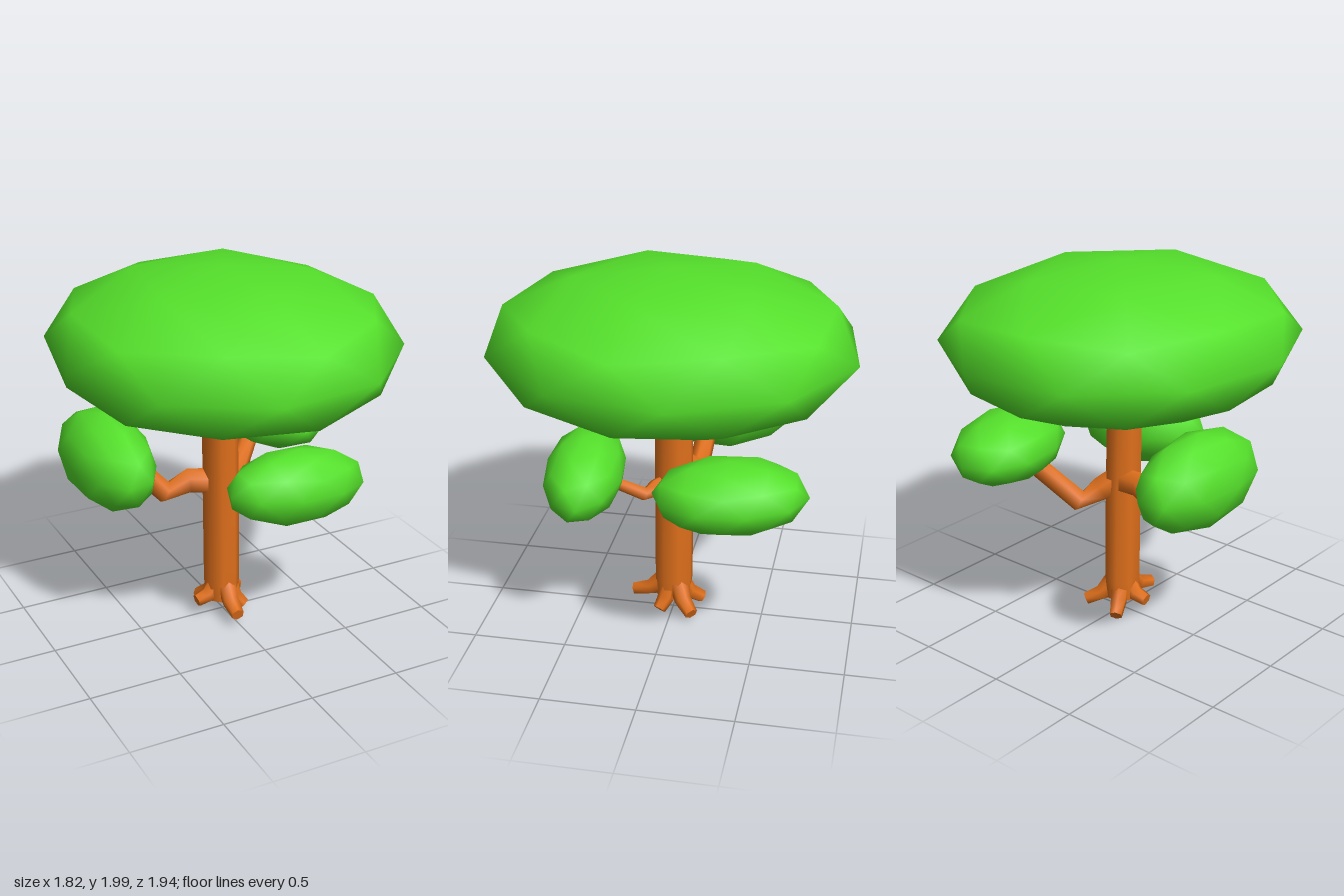
import * as THREE from 'three';

const leaf = new THREE.MeshStandardMaterial({ color: 0x55e02b });
const bark = new THREE.MeshStandardMaterial({ color: 0xe0701c });
const deg = THREE.MathUtils.degToRad;

// Low-poly ellipsoid of leaves with a vertex at its top
function foliage(name, centre, radii, spin, yaw = 0, roll = 0) {
  const g = new THREE.IcosahedronGeometry(1, 1);
  g.rotateZ(Math.atan2(2, 1 + Math.sqrt(5)));
  g.rotateY(deg(spin)).scale(...radii);
  const mesh = new THREE.Mesh(g, leaf);
  mesh.name = name;
  mesh.position.set(...centre);
  mesh.rotation.set(0, deg(yaw), deg(roll));
  return mesh;
}

// Sweep a polygon along a bent path; each path entry is [x, y, z, radius]
function limb(name, path, sides, ref = [0, 1, 0]) {
  const pts = path.map(p => new THREE.Vector3(p[0], p[1], p[2]));
  const up = new THREE.Vector3(...ref);
  const pos = [], index = [], last = pts.length - 1;
  const ring = i => {
    const t = pts[Math.min(i + 1, last)].clone().sub(pts[Math.max(i - 1, 0)]).normalize();
    const u = t.clone().cross(up).normalize();
    const v = t.clone().cross(u);
    const start = pos.length / 3;
    for (let k = 0; k < sides; k++) {
      const a = (k + 0.5) / sides * Math.PI * 2;
      const p = pts[i].clone()
        .addScaledVector(u, Math.cos(a) * path[i][3])
        .addScaledVector(v, Math.sin(a) * path[i][3]);
      pos.push(p.x, p.y, p.z);
    }
    return start;
  };
  // walls
  const starts = pts.map((_, i) => ring(i));
  for (let i = 0; i < last; i++) {
    for (let k = 0; k < sides; k++) {
      const n = (k + 1) % sides;
      const a = starts[i] + k, b = starts[i] + n, c = starts[i + 1] + n, d = starts[i + 1] + k;
      index.push(a, b, c, a, c, d);
    }
  }
  // flat ends with their own vertices
  const s = ring(0), e = ring(last);
  for (let k = 1; k < sides - 1; k++) {
    index.push(s, s + k + 1, s + k, e, e + k, e + k + 1);
  }
  const g = new THREE.BufferGeometry();
  g.setAttribute('position', new THREE.Float32BufferAttribute(pos, 3));
  g.setIndex(index);
  g.computeVertexNormals();
  const mesh = new THREE.Mesh(g, bark);
  mesh.name = name;
  return mesh;
}

export function createModel() {
  const tree = new THREE.Group();
  tree.name = 'tree';

  // Leaves
  tree.add(
    foliage('canopy', [0, 1.6, 0], [0.915, 0.4, 0.985], 25.3),
    foliage('rightFoliage', [-0.61, 1.0, -0.14], [0.22, 0.25, 0.43], 25),
    foliage('frontFoliage', [0.205, 0.912, 0.435], [0.405, 0.203, 0.21], 25, 3, -4),
    foliage('leftFoliage', [0.47, 0.985, -0.38], [0.265, 0.19, 0.4], 25, 14),
  );

  // Trunk, slightly deeper than wide
  const trunk = limb('trunk', [
    [-0.005, 0.09, 0, 0.085], [-0.005, 0.2, -0.004, 0.096],
    [-0.01, 0.75, -0.003, 0.096], [-0.018, 1.3, 0, 0.093],
  ], 8, [0, 0, 1]);
  trunk.scale.z = 1.1;
  tree.add(trunk);

  // Bent branches reaching into the smaller foliage
  tree.add(
    limb('rightBranch', [[0, 0.79, -0.02, 0.075], [-0.18, 0.815, -0.05, 0.072],
      [-0.3, 0.755, -0.09, 0.06], [-0.5, 0.97, -0.12, 0.055]], 6),
    limb('leftBranch', [[0, 0.8, -0.02, 0.075], [0.07, 0.74, -0.09, 0.07],
      [0.15, 0.675, -0.18, 0.06], [0.36, 0.92, -0.35, 0.055]], 6),
    limb('frontBranch', [[0, 0.79, 0.02, 0.06], [0.08, 0.785, 0.08, 0.05],
      [0.13, 0.77, 0.13, 0.038], [0.19, 0.87, 0.33, 0.03]], 6),
  );

  // Roots splaying from the foot of the trunk
  const tips = [
    [-0.02, 0.085, 0.225], [0.1, 0.04, 0.06], [0.15, 0.06, -0.13],
    [-0.08, 0.04, -0.15], [-0.165, 0.1, 0.01],
  ];
  const roots = new THREE.Group();
  roots.name = 'roots';
  for (const [x, y, z] of tips) {
    roots.add(limb('root', [[x * 0.2, 0.19, z * 0.2, 0.055],
      [x * 0.55, y * 0.5 + 0.07, z * 0.55, 0.046], [x, y, z, 0.036]], 6));
  }
  tree.add(roots);
  return tree;
}
